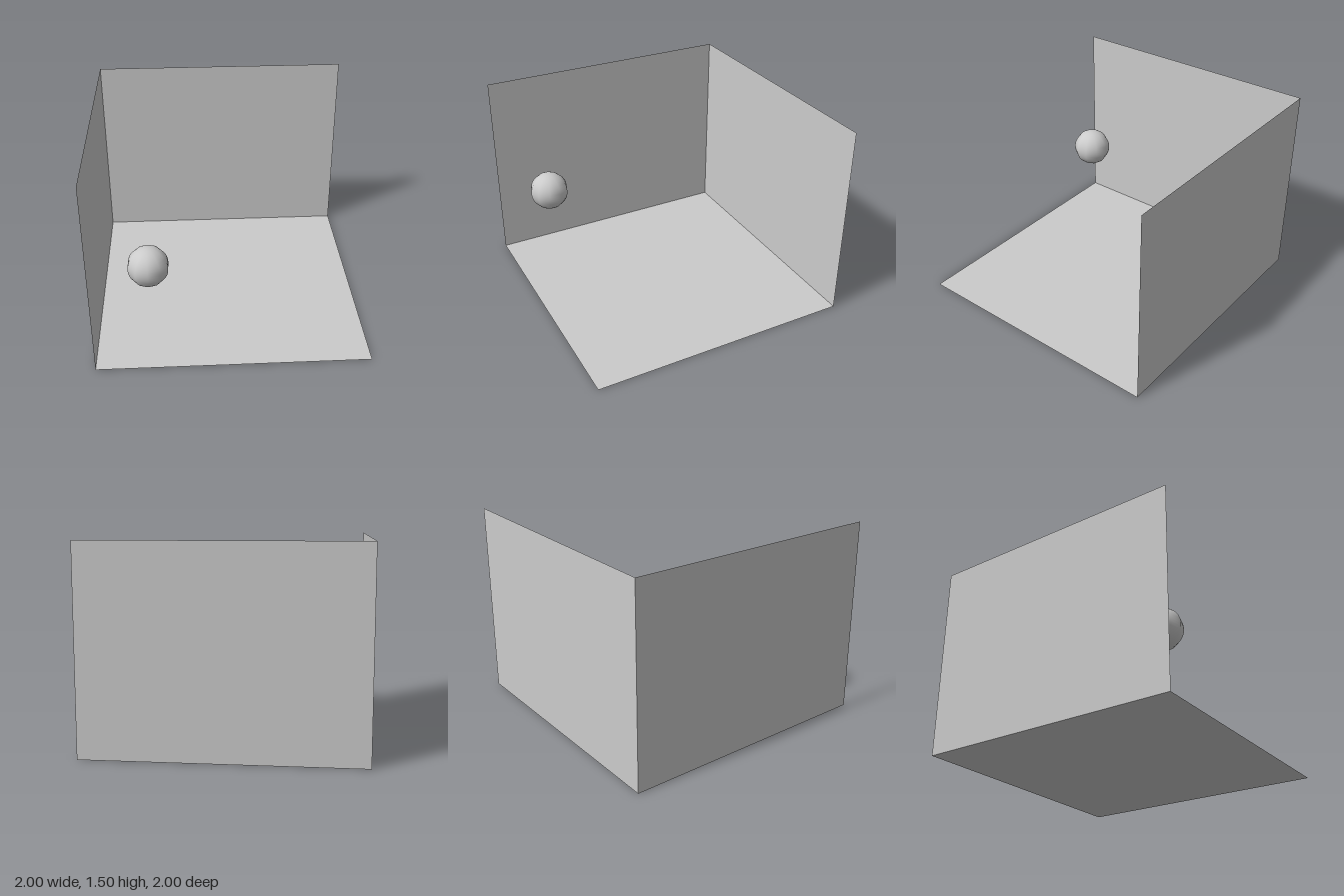
import * as THREE from 'three';

const SIZE = 2, HEIGHT = 1.5, HALF = SIZE / 2;

export function createModel() {
  const group = new THREE.Group();
  const sheet = new THREE.MeshStandardMaterial({ color: 0xcccccc, side: THREE.DoubleSide });
  const solid = new THREE.MeshStandardMaterial({ color: 0xcccccc });

  const add = (name, geometry, material, x, y, z) => {
    const mesh = new THREE.Mesh(geometry, material);
    mesh.name = name;
    mesh.position.set(x, y, z);
    group.add(mesh);
    return mesh;
  };

  // Open room corner: a floor and two thin walls
  add('floor', new THREE.PlaneGeometry(SIZE, SIZE), sheet, 0, 0, 0).rotation.x = -Math.PI / 2;
  add('backWall', new THREE.PlaneGeometry(SIZE, HEIGHT), sheet, 0, HEIGHT / 2, -HALF);
  add('sideWall', new THREE.PlaneGeometry(SIZE, HEIGHT), sheet, -HALF, HEIGHT / 2, 0).rotation.y = Math.PI / 2;

  // Floating ball: ten sides around, turned so that corners point along z
  add('ball', new THREE.SphereGeometry(0.15, 10, 24), solid, -0.6, 0.68, 0.7).rotation.y = Math.PI / 2;

  return group;
}
